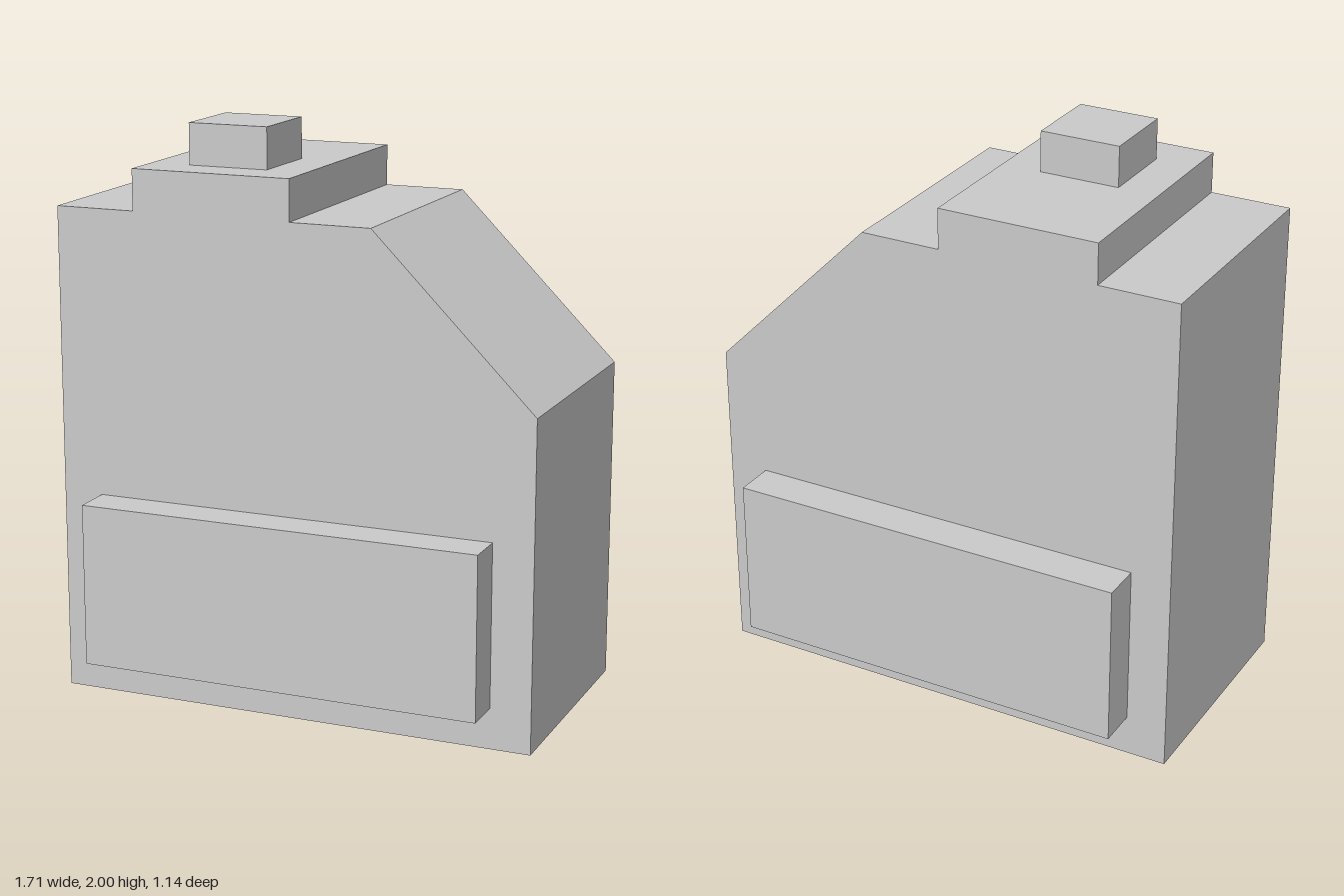
import * as THREE from 'three';

const U = 1 / 7; // the model sits on a grid of sevenths

const material = new THREE.MeshStandardMaterial({ color: 0xcccccc, flatShading: true });

// Box given by its minimum and maximum corners in grid units
function box(name, min, max) {
  const size = max.map((v, i) => (v - min[i]) * U);
  const mesh = new THREE.Mesh(new THREE.BoxGeometry(...size), material);
  mesh.position.set(...max.map((v, i) => ((v + min[i]) / 2) * U));
  mesh.name = name;
  return mesh;
}

export function createModel() {
  const model = new THREE.Group();
  model.name = 'canister';

  // Body: slanted shoulder on the left, raised neck step on top
  const outline = [[-6, 0], [6, 0], [6, 8], [2, 12], [0, 12], [0, 13], [-4, 13], [-4, 12], [-6, 12]];
  const shape = new THREE.Shape(outline.map(([x, y]) => new THREE.Vector2(x * U, y * U)));
  const bodyGeometry = new THREE.ExtrudeGeometry(shape, { depth: 6 * U, bevelEnabled: false });
  bodyGeometry.translate(0, 0, -3 * U);
  const body = new THREE.Mesh(bodyGeometry, material);
  body.name = 'body';
  model.add(body);

  // Cap, set towards the front of the neck step
  model.add(box('cap', [-3, 13, 0], [-1, 14, 2]));

  // Raised side panels
  model.add(box('frontPanel', [-5, 1, 3], [5, 5, 4]));
  model.add(box('backPanel', [-5, 1, -4], [5, 5, -3]));

  return model;
}
